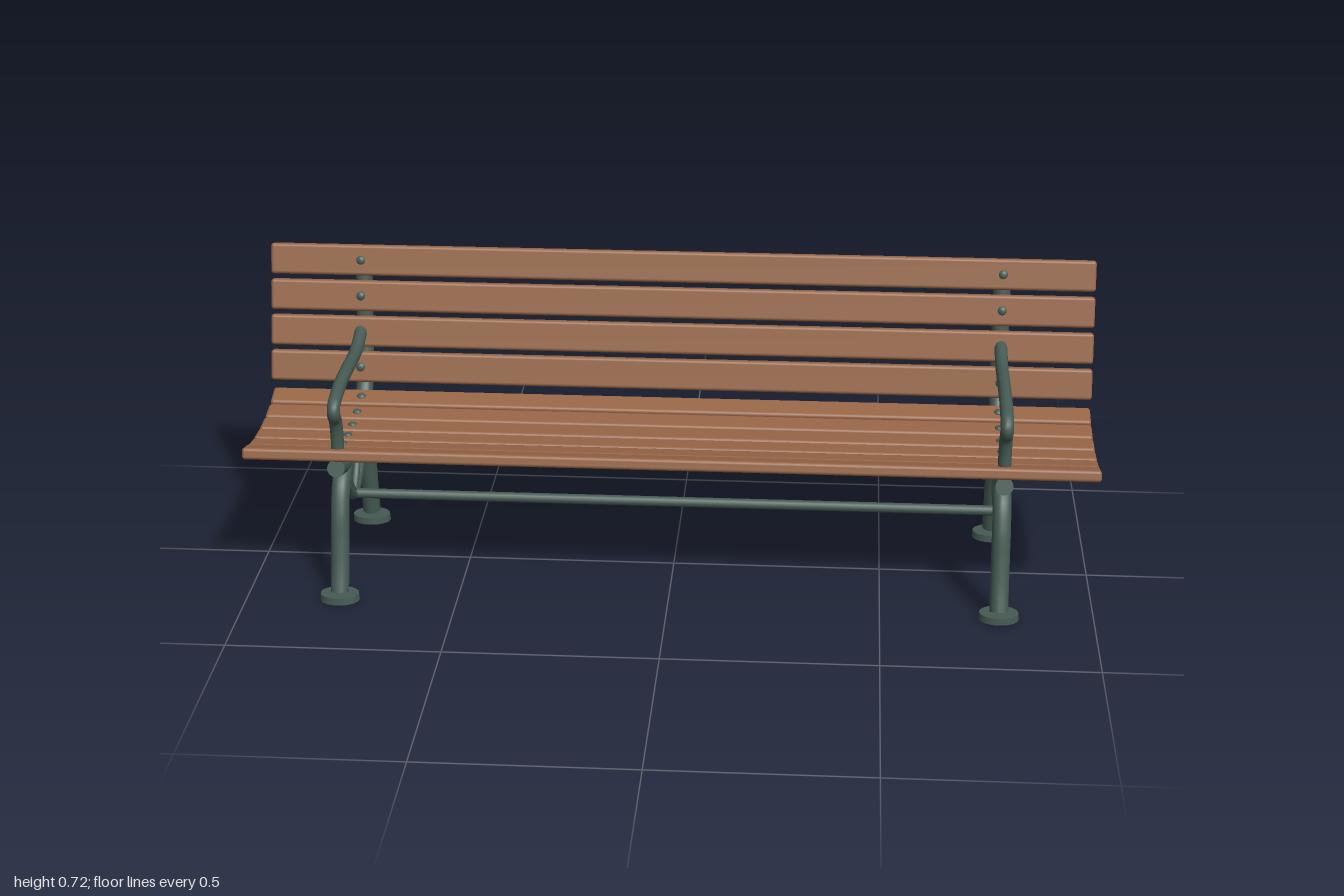
import * as THREE from 'three';
import { RoundedBoxGeometry } from 'three/addons/geometries/RoundedBoxGeometry.js';

const metal = new THREE.MeshStandardMaterial({ color: 0x465a53 });
metal.name = 'green metal';
const wood = new THREE.MeshStandardMaterial({ color: 0x966546 });
wood.name = 'brown wood';

const FRAME_X = 0.778;

function addMesh(parent, name, geometry, material) {
  const mesh = new THREE.Mesh(geometry, material);
  mesh.name = name;
  parent.add(mesh);
  return mesh;
}

// Capped round tube through [z, y] points in the side plane
function addPipe(parent, name, points, radius, segments = 48) {
  const pipe = new THREE.Group();
  pipe.name = name;
  const curve = new THREE.CatmullRomCurve3(points.map(([z, y]) => new THREE.Vector3(0, y, z)));
  addMesh(pipe, name + 'Tube', new THREE.TubeGeometry(curve, segments, radius, 16), metal);
  for (const t of [0, 1]) {
    const cap = addMesh(pipe, name + 'Cap', new THREE.CircleGeometry(radius, 16), metal);
    const outward = curve.getTangent(t).multiplyScalar(t ? 1 : -1);
    cap.position.copy(curve.getPoint(t));
    cap.quaternion.setFromUnitVectors(new THREE.Vector3(0, 0, 1), outward);
  }
  parent.add(pipe);
}

// One cast side frame: legs, back support, armrest, brace and scrolls
function makeFrame() {
  const frame = new THREE.Group();
  addPipe(frame, 'legs', [
    [0.246, 0.018], [0.228, 0.07], [0.211, 0.135], [0.194, 0.205], [0.165, 0.262], [0.115, 0.291],
    [0.05, 0.298], [-0.05, 0.298], [-0.11, 0.292], [-0.15, 0.262], [-0.178, 0.2],
    [-0.192, 0.12], [-0.206, 0.027],
  ], 0.022, 80);
  addPipe(frame, 'backSupport', [
    [0.217, 0.325], [0.15, 0.306], [0.07, 0.296], [-0.03, 0.296], [-0.11, 0.31],
    [-0.178, 0.352], [-0.222, 0.44], [-0.24, 0.54], [-0.247, 0.61], [-0.262, 0.692],
  ], 0.021, 72);
  addPipe(frame, 'armrest', [
    [0.184, 0.33], [0.184, 0.4], [0.193, 0.437], [0.211, 0.46], [0.205, 0.477], [0.17, 0.489],
    [0.11, 0.498], [0, 0.498], [-0.1, 0.498], [-0.155, 0.512], [-0.205, 0.53],
  ], 0.0155, 72);
  addPipe(frame, 'brace', [
    [0.155, 0.247], [0.1, 0.225], [0.055, 0.188], [0.012, 0.171], [-0.035, 0.187],
    [-0.085, 0.216], [-0.15, 0.246],
  ], 0.0125);
  for (const s of [1, -1]) {
    const scroll = [[0, 0], [0.032, 0.029], [0.054, 0.058], [0.059, 0.082], [0.044, 0.099], [0.03, 0.092], [0.029, 0.077]];
    addPipe(frame, 'scroll', scroll.map(([z, y]) => [0.014 + s * z, 0.174 + y]), 0.0095);
  }
  for (const z of [0.247, -0.206]) {
    const foot = addMesh(frame, 'foot', new THREE.CylinderGeometry(0.97, 1, 0.017, 32), metal);
    foot.scale.set(0.047, 1, 0.036);
    foot.position.set(0, 0.0085, z);
  }
  return frame;
}

// Rounded plank with a bolt head over each frame
function makeSlat(name, z, y, tilt, width) {
  const slat = new THREE.Group();
  slat.name = name;
  addMesh(slat, name + 'Plank', new RoundedBoxGeometry(2, 0.028, width, 3, 0.008), wood);
  for (const side of [-1, 1]) {
    const head = new THREE.SphereGeometry(0.011, 14, 6, 0, Math.PI * 2, 0, Math.PI / 2);
    const bolt = addMesh(slat, 'bolt', head, metal);
    bolt.scale.y = 0.6;
    bolt.position.set(side * FRAME_X, 0.0135, 0);
  }
  slat.position.set(0, y, z);
  slat.rotation.x = tilt;
  return slat;
}

export function createModel() {
  const bench = new THREE.Group();
  bench.name = 'bench';

  for (const side of [-1, 1]) {
    const frame = makeFrame();
    frame.name = side > 0 ? 'leftFrame' : 'rightFrame';
    frame.position.x = side * FRAME_X;
    bench.add(frame);
  }

  // Rail joining the frames
  const rail = addMesh(bench, 'crossRail', new THREE.CylinderGeometry(0.012, 0.012, FRAME_X * 2 + 0.026, 16), metal);
  rail.rotation.z = Math.PI / 2;
  rail.position.set(0, 0.174, 0.02);

  // Curved seat, front to back
  [[0.188, 0.349, -0.24], [0.121, 0.334, -0.14], [0.055, 0.328, -0.04],
    [-0.011, 0.328, 0.04], [-0.078, 0.334, 0.15], [-0.144, 0.349, 0.27],
  ].forEach(([z, y, tilt]) => bench.add(makeSlat('seatSlat', z, y, tilt, 0.061)));

  // Leaning backrest, bottom to top
  for (let i = 0; i < 4; i++) {
    bench.add(makeSlat('backSlat', -0.16 - i * 0.023, 0.433 + i * 0.084, Math.PI / 2 - 0.25, 0.075));
  }
  return bench;
}
